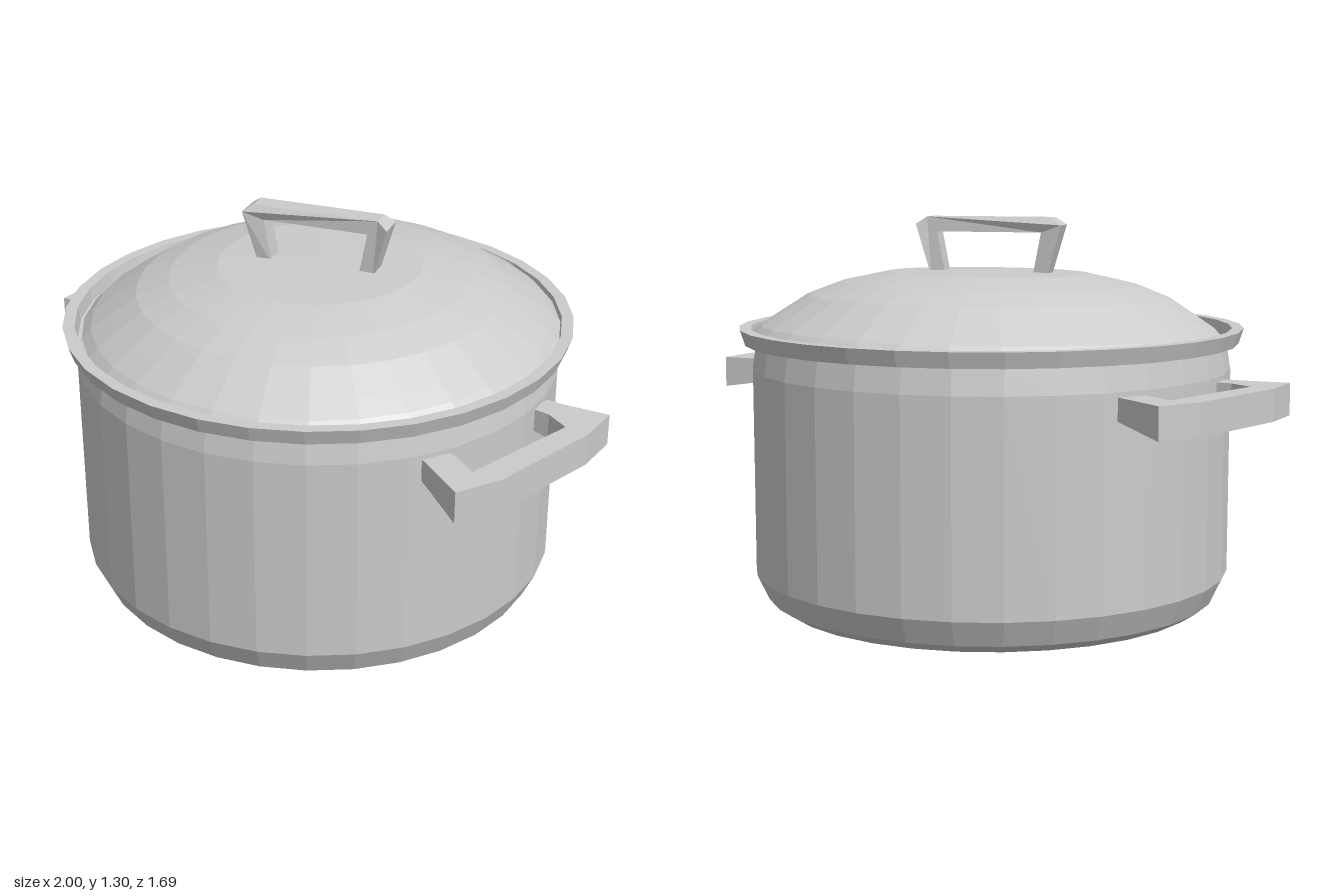
import * as THREE from 'three';

const SIDES = 32;
const material = new THREE.MeshStandardMaterial({ color: 0xcccccc, flatShading: true });

function part(name, geometry) {
  const mesh = new THREE.Mesh(geometry, material);
  mesh.name = name;
  return mesh;
}

const vectors = (points) => points.map(([x, y]) => new THREE.Vector2(x, y));
const lathe = (points) => new THREE.LatheGeometry(vectors(points), SIDES);

// Extrudes an outline, centred on z = 0
function slab(points, depth) {
  const geometry = new THREE.ExtrudeGeometry(new THREE.Shape(vectors(points)), { depth, bevelEnabled: false });
  return geometry.translate(0, 0, -depth / 2);
}

// Moves every vertex by a rule
function reshape(geometry, rule) {
  const pos = geometry.attributes.position;
  const v = new THREE.Vector3();
  for (let i = 0; i < pos.count; i++) {
    v.fromBufferAttribute(pos, i);
    rule(v);
    pos.setXYZ(i, v.x, v.y, v.z);
  }
  geometry.computeVertexNormals();
  return geometry;
}

// Angular bracket handle, arms thinning underneath towards the pot wall
function sideHandle(name) {
  const outline = [
    [0.75, 0.31], [0.80, 0.32], [0.95, 0.375], [0.99, 0.22], [1.0, -0.18], [0.96, -0.335],
    [0.80, -0.28], [0.75, -0.265], [0.75, -0.17], [0.82, -0.18], [0.91, -0.21],
    [0.91, 0.21], [0.82, 0.235], [0.75, 0.225],
  ];
  const geometry = slab(outline, 0.105).rotateX(-Math.PI / 2).translate(0, 0.732, 0);
  reshape(geometry, (v) => {
    if (v.y < 0.73) v.y += 0.032 * THREE.MathUtils.clamp((0.95 - v.x) / 0.2, 0, 1);
  });
  return part(name, geometry);
}

export function createModel() {
  const model = new THREE.Group();
  model.name = 'cookingPot';

  // Hollow body with a rounded base
  model.add(part('potBody', lathe([
    [0, 0], [0.72, 0], [0.765, 0.03], [0.805, 0.115], [0.805, 0.8], [0.79, 0.89],
    [0.775, 0.89], [0.775, 0.12], [0.72, 0.04], [0, 0.04],
  ])));

  // Flared rim
  model.add(part('rim', lathe([
    [0.775, 0.885], [0.83, 0.885], [0.847, 0.936], [0.808, 0.936], [0.8, 0.89], [0.775, 0.885],
  ])));

  // Domed lid, seated with a slight tilt
  const lid = part('lid', lathe([
    [0, 1.1], [0.34, 1.09], [0.5, 1.055], [0.61, 1.01], [0.7, 0.95], [0.78, 0.885],
    [0.8, 0.9], [0.765, 0.935], [0.705, 0.975], [0.61, 1.037], [0.5, 1.08], [0.34, 1.115], [0, 1.123],
  ]));
  lid.rotation.x = 0.02;
  lid.position.z = -0.03;
  model.add(lid);

  // Lid handle: trapezoid arch, widest at its outer shoulders
  const half = [[0.2, 1.095], [0.25, 1.275], [0.215, 1.3]];
  const inner = [[0.18, 1.25], [0.15, 1.095]];
  const mirror = (points) => points.map(([x, y]) => [-x, y]).reverse();
  const arch = slab([...half, ...mirror(half), ...mirror(inner), ...inner], 0.066);
  reshape(arch, (v) => { if (Math.abs(v.x) > 0.24) v.z *= 1.45; });
  const lidHandle = part('lidHandle', arch);
  lidHandle.rotation.y = 0.47;
  model.add(lidHandle);

  // Side handles, one turned half way round
  const leftHandle = sideHandle('leftHandle');
  const rightHandle = sideHandle('rightHandle');
  rightHandle.rotation.y = Math.PI;
  model.add(leftHandle, rightHandle);

  return model;
}
